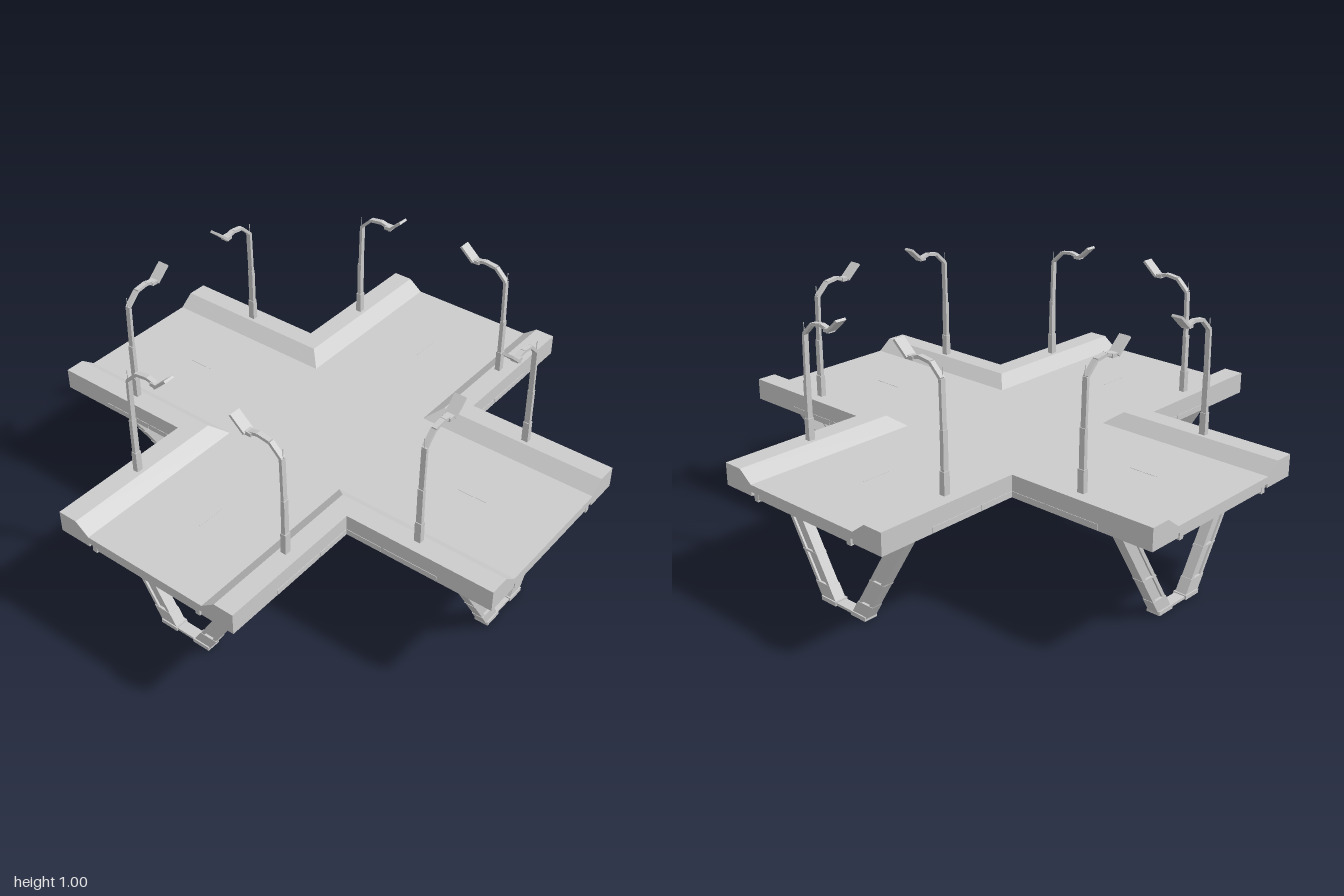
import * as THREE from 'three';

const material = new THREE.MeshStandardMaterial({ color: 0xcccccc, flatShading: true, side: THREE.DoubleSide });

function add(parent, name, geometry, x = 0, y = 0, z = 0) {
  const mesh = new THREE.Mesh(geometry, material);
  mesh.name = name;
  mesh.position.set(x, y, z);
  parent.add(mesh);
  return mesh;
}

const box = (w, h, d) => new THREE.BoxGeometry(w, h, d);

// Square-section bar between two points in the XY plane at depth z
function bar(parent, name, a, b, thick, depth, z = 0) {
  const dx = b[0] - a[0], dy = b[1] - a[1];
  const mesh = add(parent, name, box(Math.hypot(dx, dy), thick, depth),
    (a[0] + b[0]) / 2, (a[1] + b[1]) / 2, z);
  mesh.rotation.z = Math.atan2(dy, dx);
  return mesh;
}

// Polygon in XY pushed along z, centred on the given depth
function prism(points, depth, z) {
  const shape = new THREE.Shape(points.map(p => new THREE.Vector2(...p)));
  return new THREE.ExtrudeGeometry(shape, { depth, bevelEnabled: false }).translate(0, 0, z - depth / 2);
}

// Plus-shaped slab: half width w, half length l, with cut end corners c
function crossSlab(w, l, c, bottom, top, bevel) {
  const arm = [[l, -w + c], [l, w - c], [l - c, w], [w, w]];
  const points = [];
  for (let i = 0; i < 4; i++) {
    for (const p of arm) {
      points.push(new THREE.Vector2(...p).rotateAround(new THREE.Vector2(), i * Math.PI / 2));
    }
    const next = new THREE.Vector2(l - c, -w).rotateAround(new THREE.Vector2(), (i + 1) * Math.PI / 2);
    if (c > 0) points.push(next);
  }
  const geometry = new THREE.ExtrudeGeometry(new THREE.Shape(points), {
    depth: top - bottom - 2 * bevel, bevelEnabled: bevel > 0, bevelSize: bevel, bevelOffset: -bevel,
    bevelThickness: bevel, bevelSegments: 1,
  });
  return geometry.rotateX(-Math.PI / 2).translate(0, bottom + bevel, 0);
}

// Sloped kerb wall swept round one inside corner with a mitre
function cornerWall() {
  const profile = [[0.4, 0.415], [0.4, 0.5], [0.32, 0.5], [0.262, 0.456], [0.262, 0.415]];
  const stations = [([d, y]) => [1, y, d], ([d, y]) => [d, y, d], ([d, y]) => [d, y, 1]];
  const pos = [];
  const n = profile.length;
  for (let s = 0; s < 2; s++) {
    for (let i = 0; i < n; i++) {
      const p = profile[i], q = profile[(i + 1) % n];
      const a = stations[s](p), b = stations[s](q), c = stations[s + 1](q), d = stations[s + 1](p);
      pos.push(...a, ...b, ...c, ...a, ...c, ...d);
    }
  }
  for (let i = 1; i < n - 1; i++) {
    pos.push(...[0, i + 1, i].flatMap(k => stations[0](profile[k])));
    pos.push(...[0, i, i + 1].flatMap(k => stations[2](profile[k])));
  }
  const geometry = new THREE.BufferGeometry();
  geometry.setAttribute('position', new THREE.Float32BufferAttribute(pos, 3));
  geometry.computeVertexNormals();
  return geometry;
}

// Street lamp on the +x kerb, leaning toward the road
function streetLamp() {
  const lamp = new THREE.Group();
  lamp.name = 'streetLamp';
  add(lamp, 'lampFoot', box(0.022, 0.09, 0.026), 0.346, 0.54, 0);
  add(lamp, 'lampLowerPole', box(0.016, 0.16, 0.022), 0.346, 0.65, 0);
  const path = [[0.345, 0.72], [0.341, 0.905], [0.295, 0.95], [0.245, 0.957], [0.205, 0.947]];
  for (let i = 0; i < path.length - 1; i++) bar(lamp, 'lampArm', path[i], path[i + 1], 0.012, 0.02);
  add(lamp, 'lampJoint', box(0.03, 0.014, 0.03), 0.208, 0.947, 0);
  bar(lamp, 'lampHead', [0.2, 0.945], [0.143, 0.996], 0.01, 0.044);
  add(lamp, 'lampSpike', box(0.002, 0.06, 0.002), 0.346, 0.915, 0);
  return lamp;
}

// V-shaped pier under the +z arm
function pier() {
  const group = new THREE.Group();
  group.name = 'pier';
  const z = 0.81;
  // x of the leg's outer edge at height y
  const edge = y => 0.118 + (y - 0.015) * 0.6;
  const strip = (inA, inB, y0, y1) =>
    [[edge(y0) - inB, y0], [edge(y0) - inA, y0], [edge(y1) - inA, y1], [edge(y1) - inB, y1]];
  for (const side of [-1, 1]) {
    const leg = new THREE.Group();
    leg.name = side > 0 ? 'leftLeg' : 'rightLeg';
    leg.scale.x = side;
    add(leg, 'legWeb', prism(strip(0.008, 0.062, 0.015, 0.4), 0.026, z));
    add(leg, 'legOuterFlange', prism(strip(0, 0.016, 0.015, 0.4), 0.042, z));
    add(leg, 'legInnerFlange', prism(strip(0.054, 0.07, 0.015, 0.4), 0.042, z));
    add(leg, 'legBoot', prism(strip(-0.002, 0.072, 0.01, 0.065), 0.046, z));
    add(leg, 'legCollar', prism(strip(-0.002, 0.072, 0.165, 0.172), 0.044, z));
    add(leg, 'footPad', box(0.075, 0.016, 0.056), 0.078, 0.008, z);
    // Bracket from the leg head to the end of the deck
    add(leg, 'headBracket', box(0.035, 0.016, 0.11), 0.3, 0.378, 0.868);
    add(leg, 'bracketTip', box(0.035, 0.026, 0.02), 0.3, 0.391, 0.922);
    add(leg, 'hingePin', new THREE.CylinderGeometry(0.009, 0.009, 0.05, 8).rotateX(Math.PI / 2), 0.303, 0.378, z);
    group.add(leg);
  }
  add(group, 'footTie', box(0.1, 0.01, 0.045), 0, 0.007, z);
  add(group, 'headBeam', box(0.64, 0.018, 0.03), 0, 0.398, 0.915);
  return group;
}

// One quarter: kerb corner, arm fittings, lamps and pier
function quarter() {
  const group = new THREE.Group();
  add(group, 'cornerWall', cornerWall());
  // Service strips low on the outside of the walls
  for (const [a, b] of [[0.402, 0.55], [0.56, 0.78]]) {
    const mid = (a + b) / 2;
    add(group, 'wallStrip', box(b - a, 0.022, 0.004), mid, 0.428, 0.4);
    add(group, 'wallStrip', box(0.004, 0.022, b - a), 0.4, 0.428, mid);
  }
  // Fittings on the end of the arm
  for (const side of [-1, 1]) {
    add(group, 'endBracket', box(0.02, 0.034, 0.014), side * 0.24, 0.417, 0.99);
    add(group, 'underRib', box(0.2, 0.006, 0.42), side * 0.14, 0.397, 0.58);
    const lamp = streetLamp();
    lamp.scale.x = side;
    lamp.position.z = 0.667;
    group.add(lamp);
  }
  add(group, 'endBeam', box(0.48, 0.02, 0.02), 0, 0.419, 0.985);
  // Lane lines
  add(group, 'centreDash', box(0.005, 0.002, 0.12), 0, 0.457, 0.66);
  group.add(pier());
  return group;
}

export function createModel() {
  const model = new THREE.Group();
  model.name = 'elevatedCrossroads';
  add(model, 'roadDeck', crossSlab(0.266, 1, 0, 0.43, 0.457, 0));
  add(model, 'underDeck', crossSlab(0.36, 0.985, 0.05, 0.397, 0.43, 0.012));
  for (let i = 0; i < 4; i++) {
    const part = quarter();
    part.name = 'quarter' + (i + 1);
    part.rotation.y = i * Math.PI / 2;
    model.add(part);
  }
  return model;
}
